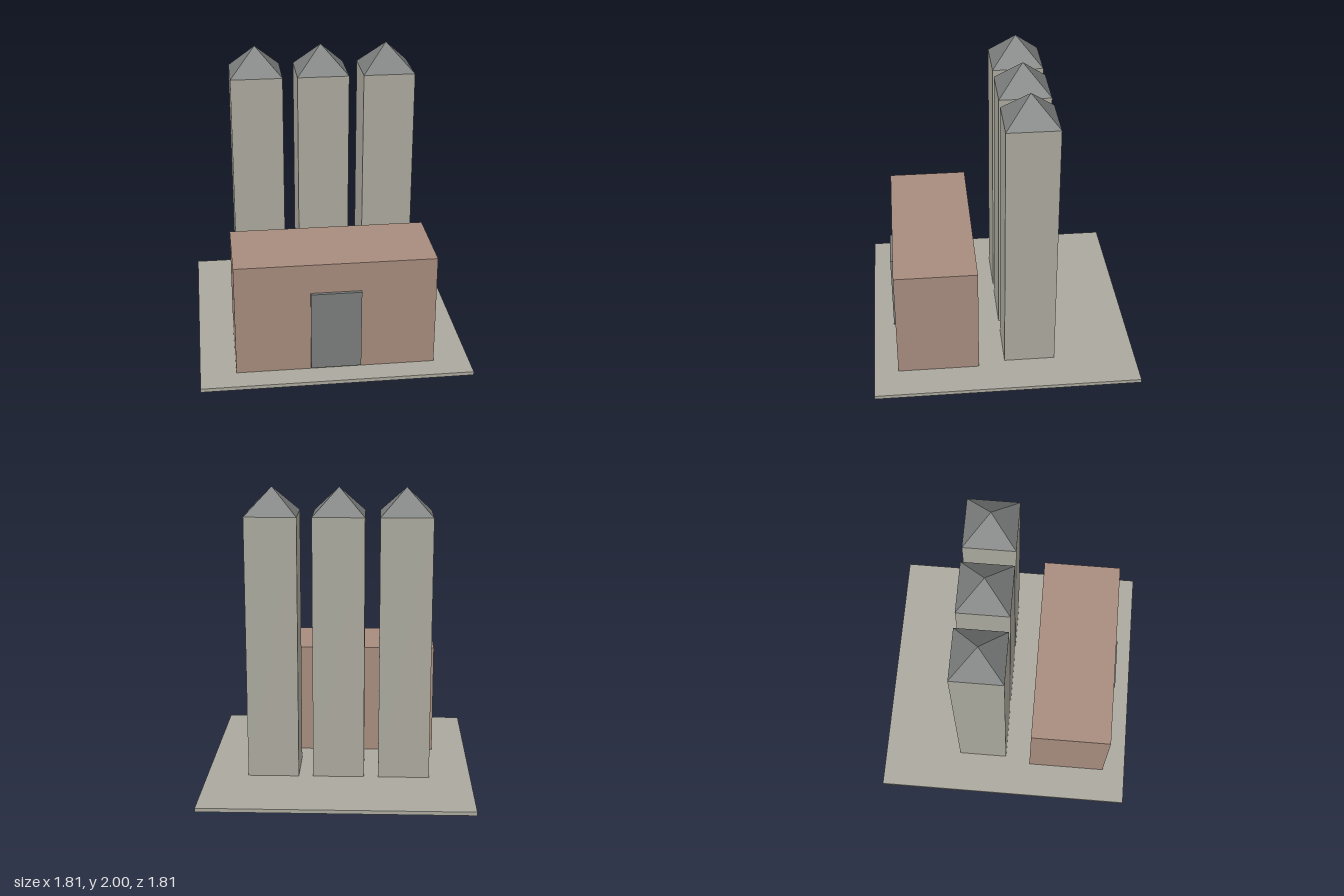
import * as THREE from 'three';

export function createModel() {
  const model = new THREE.Group();
  model.name = 'siloComplex';

  const material = (name, color) => {
    const m = new THREE.MeshStandardMaterial({ color });
    m.name = name;
    return m;
  };
  const concrete = material('concrete', 0xaba99e);
  const brick = material('brick', 0xa78c7e);
  const slate = material('slate', 0x7a7d7c);
  slate.flatShading = true;

  const add = (name, geometry, mat, x, y, z) => {
    const mesh = new THREE.Mesh(geometry, mat);
    mesh.name = name;
    mesh.position.set(x, y, z);
    model.add(mesh);
  };
  // Box standing on a given height
  const box = (name, mat, w, h, d, x, bottom, z) =>
    add(name, new THREE.BoxGeometry(w, h, d), mat, x, bottom + h / 2, z);

  // Ground slab, hall and its door
  const slabTop = 0.025;
  box('groundSlab', concrete, 1.81, slabTop, 1.81, 0, 0, 0);
  box('hall', brick, 1.33, 0.775, 0.555, 0, slabTop, 0.463);
  box('door', slate, 0.335, 0.555, 0.025, 0, 0.04, 0.75);

  // Three square towers with pyramid roofs
  const side = 0.348, towerTop = 1.82, roofHeight = 0.18, towerZ = -0.17;
  const roof = new THREE.ConeGeometry(side / Math.SQRT2, roofHeight, 4).rotateY(Math.PI / 4);
  ['right', 'middle', 'left'].forEach((label, i) => {
    const x = (i - 1) * 0.447;
    box(`${label}Tower`, concrete, side, towerTop - slabTop, side, x, slabTop, towerZ);
    add(`${label}TowerRoof`, roof, slate, x, towerTop + roofHeight / 2, towerZ);
  });

  return model;
}
